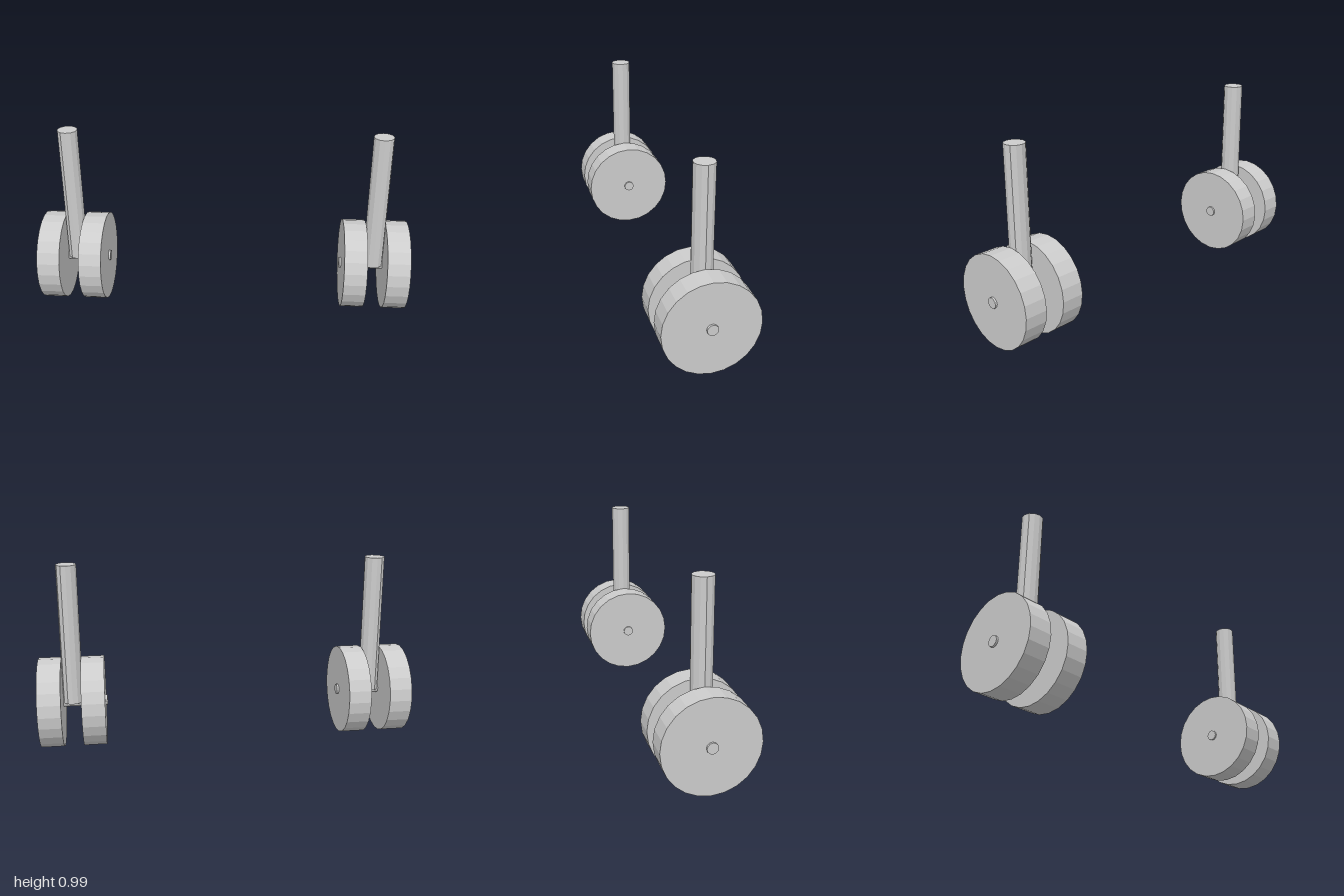
import * as THREE from 'three';

const material = new THREE.MeshStandardMaterial({ color: 0xcccccc, flatShading: true });
const AXLE_Y = 0.24;

function cylinder(name, radius, length, sides) {
  const mesh = new THREE.Mesh(new THREE.CylinderGeometry(radius, radius, length, sides), material);
  mesh.name = name;
  return mesh;
}

// One twin-wheel landing leg: vertical strut, cross axle, two wheels
function createLeg(name) {
  const leg = new THREE.Group();
  leg.name = name;

  const strut = cylinder('strut', 0.053, 0.745, 12);
  strut.position.y = AXLE_Y + 0.745 / 2;
  leg.add(strut);

  const axle = cylinder('axle', 0.028, 0.366, 12);
  axle.rotation.z = Math.PI / 2;
  axle.position.y = AXLE_Y;
  leg.add(axle);

  for (const side of [-1, 1]) {
    const wheel = cylinder(side > 0 ? 'leftWheel' : 'rightWheel', 0.24, 0.121, 24);
    wheel.rotation.z = Math.PI / 2;
    wheel.position.set(side * 0.112, AXLE_Y, 0);
    leg.add(wheel);
  }
  return leg;
}

export function createModel() {
  const model = new THREE.Group();
  model.name = 'landingGear';
  for (const side of [-1, 1]) {
    const leg = createLeg(side > 0 ? 'leftLeg' : 'rightLeg');
    leg.position.x = side * 0.817;
    model.add(leg);
  }
  return model;
}
